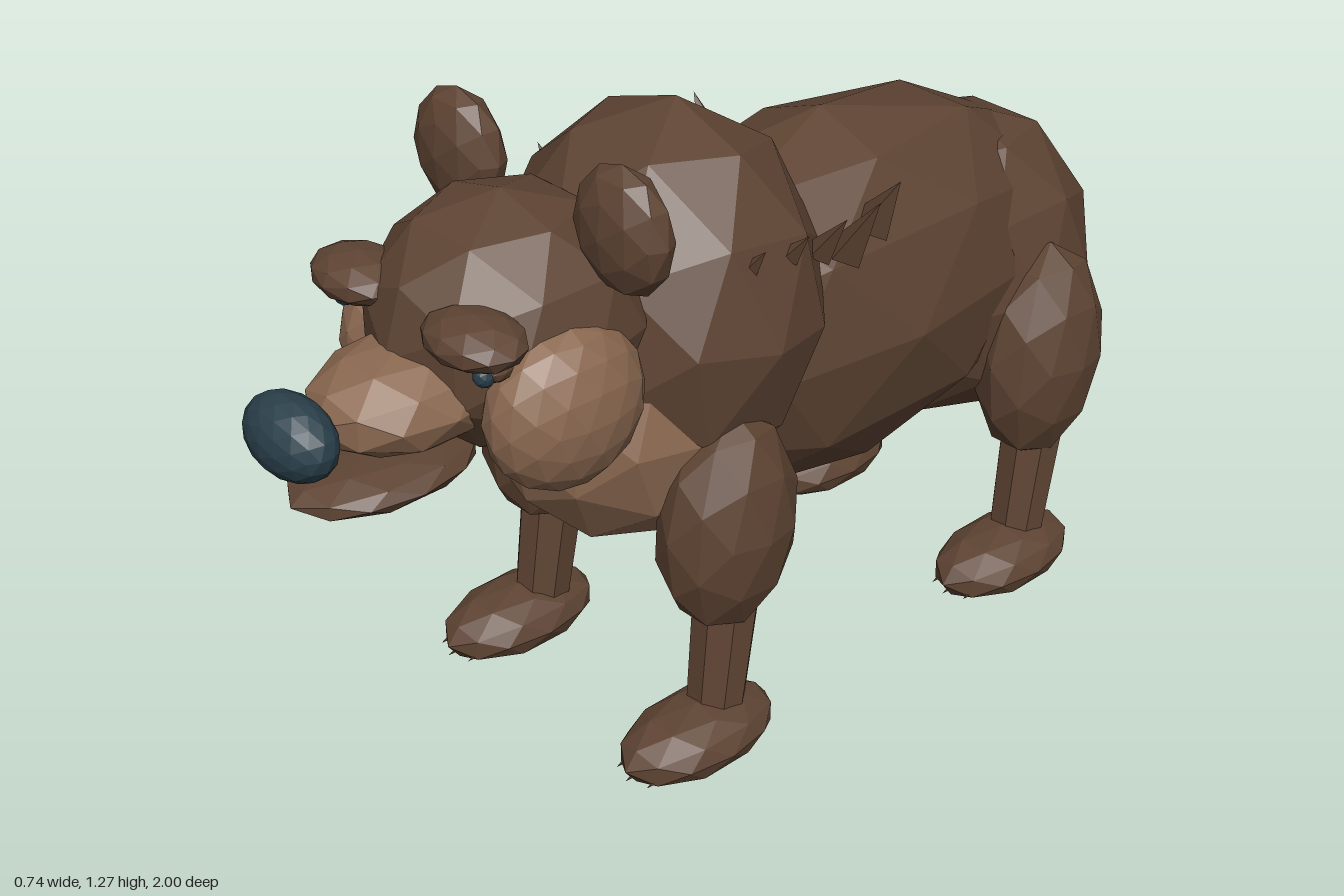
import * as THREE from 'three';

export function createModel() {
  const bear = new THREE.Group();
  bear.name = 'bear';

  const paint = (name, color) => {
    const m = new THREE.MeshStandardMaterial({ color, flatShading: true });
    m.name = name;
    return m;
  };
  const brown = paint('brown fur', 0x5e4433);
  const tan = paint('tan fur', 0x8a6850);
  const slate = paint('dark slate', 0x2a404b);

  const coarse = new THREE.IcosahedronGeometry(1, 1);
  const fine = new THREE.IcosahedronGeometry(1, 2);

  const add = (name, geometry, material, pos) => {
    const mesh = new THREE.Mesh(geometry, material);
    mesh.name = name;
    mesh.position.set(...pos);
    bear.add(mesh);
    return mesh;
  };
  // Faceted ellipsoid from centre and radii, tilted about x
  const blob = (name, material, pos, radii, tilt = 0, geometry = coarse) => {
    const mesh = add(name, geometry, material, pos);
    mesh.scale.set(...radii);
    mesh.rotation.x = tilt;
    return mesh;
  };
  // Cylinder or cone running from a to b
  const rod = (name, material, a, b, rStart, rEnd, sides) => {
    const from = new THREE.Vector3(...a), to = new THREE.Vector3(...b);
    const dir = to.clone().sub(from);
    const geometry = new THREE.CylinderGeometry(rEnd, rStart, dir.length(), sides);
    const mesh = add(name, geometry, material, from.add(to).multiplyScalar(0.5).toArray());
    mesh.quaternion.setFromUnitVectors(new THREE.Vector3(0, 1, 0), dir.normalize());
    return mesh;
  };

  // Trunk
  blob('torso', brown, [0, 0.72, -0.29], [0.29, 0.38, 0.64]);
  blob('rump', brown, [0, 0.65, -0.67], [0.28, 0.34, 0.33]);
  blob('shoulderHump', brown, [0, 0.86, 0.13], [0.33, 0.375, 0.3], -0.14);
  blob('chest', tan, [0, 0.69, 0.25], [0.26, 0.28, 0.24]);

  // Head
  blob('head', brown, [0, 0.95, 0.48], [0.25, 0.235, 0.26]);
  blob('muzzle', tan, [0, 0.88, 0.7], [0.145, 0.095, 0.19]);
  blob('nose', slate, [0, 0.885, 0.935], [0.105, 0.075, 0.065], 0, fine);
  blob('lowerJaw', brown, [0, 0.75, 0.76], [0.12, 0.042, 0.19]);

  for (const s of [1, -1]) {
    const side = s > 0 ? 'left' : 'right';

    // Face details and ears
    blob(side + 'Cheek', tan, [s * 0.2, 0.865, 0.52], [0.105, 0.157, 0.16], 0, fine);
    blob(side + 'Brow', brown, [s * 0.155, 1.03, 0.668], [0.105, 0.045, 0.08]);
    blob(side + 'Eyelid', brown, [s * 0.185, 0.985, 0.655], [0.035, 0.027, 0.035]);
    blob(side + 'Eye', slate, [s * 0.192, 0.98, 0.68], [0.02, 0.022, 0.02]);
    blob(side + 'Ear', brown, [s * 0.218, 1.155, 0.395], [0.11, 0.12, 0.06]);

    // Fur spikes growing towards the back
    const spikes = [
      // z, base x, base y, tip x, tip y, radius
      [0.15, 0.27, 1.015, 0.305, 1.06, 0.016],
      [0.055, 0.27, 1.005, 0.315, 1.06, 0.02],
      [-0.04, 0.25, 0.97, 0.315, 1.06, 0.028],
      [-0.13, 0.23, 0.93, 0.31, 1.06, 0.038],
      [-0.22, 0.21, 0.95, 0.275, 1.06, 0.042],
    ];
    spikes.forEach(([z, bx, by, tx, ty, r], i) =>
      rod(`${side}FurSpike${i + 1}`, brown, [s * bx, by, z], [s * tx, ty, z], r, 0, 4));

    // Legs: thigh, shin, foot and claws
    const legs = [
      { end: 'Front', thighY: 0.505, thighZ: 0.19, ry: 0.228, shinTop: 0.185, shinLow: 0.225, foot: 0.278 },
      { end: 'Rear', thighY: 0.52, thighZ: -0.685, ry: 0.24, shinTop: -0.69, shinLow: -0.645, foot: -0.595 },
    ];
    for (const leg of legs) {
      const name = side + leg.end;
      blob(name + 'Thigh', brown, [s * 0.252, leg.thighY, leg.thighZ], [0.117, leg.ry, 0.148], -0.06);
      rod(name + 'Shin', brown, [s * 0.25, 0.36, leg.shinTop], [s * 0.256, 0.08, leg.shinLow], 0.066, 0.056, 8);
      blob(name + 'Foot', brown, [s * 0.265, 0.07, leg.foot], [0.103, 0.067, 0.18]);
      for (let i = -1; i <= 1; i++) {
        const x = s * 0.265 + i * 0.042;
        const z = leg.foot + 0.15 - Math.abs(i) * 0.015;
        rod(name + 'Claw', brown, [x, 0.06, z - 0.03], [x, 0.05, z + 0.03], 0.014, 0, 5);
      }
    }
  }
  return bear;
}
